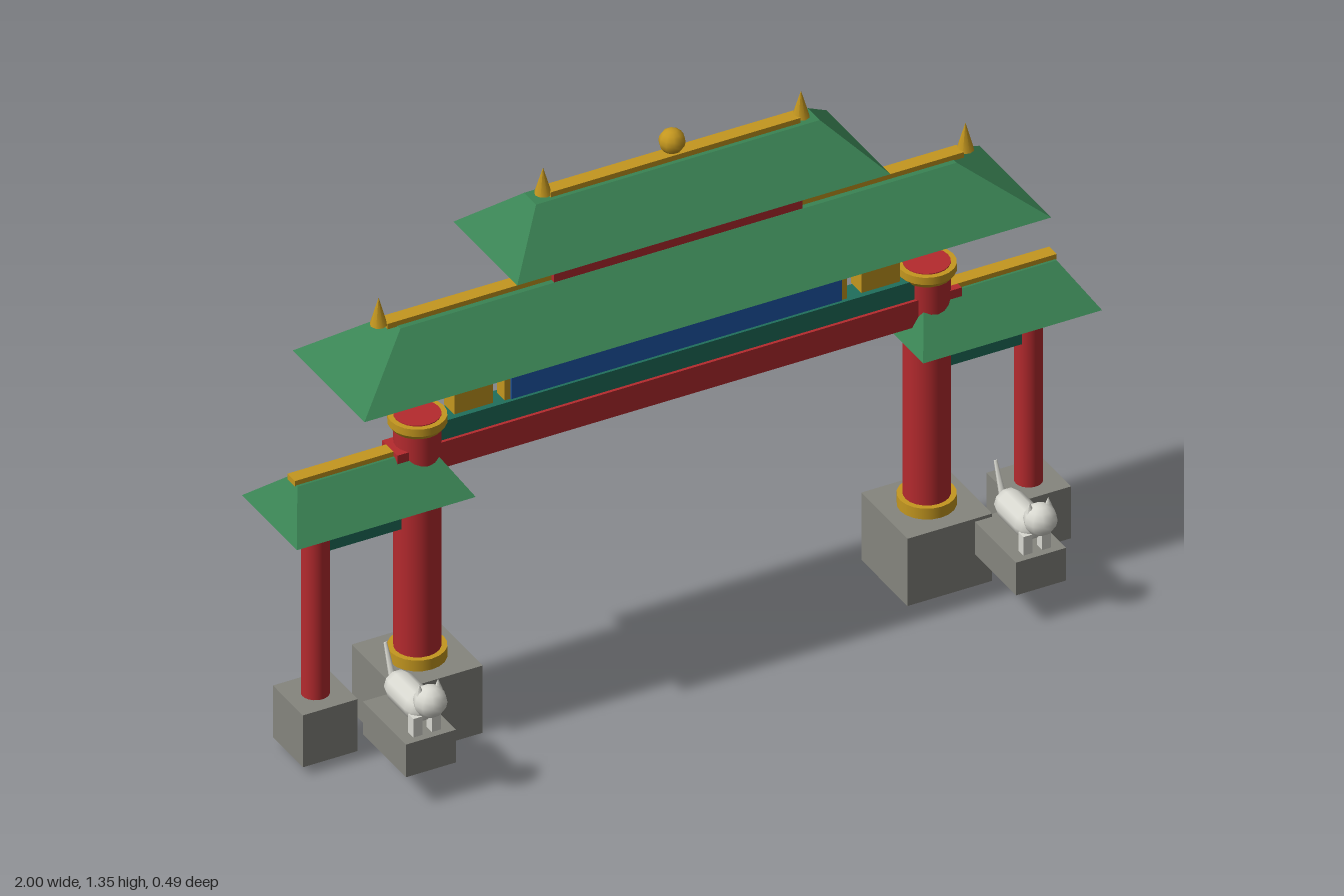
import * as THREE from 'three';

const mat = (name, color) => {
  const m = new THREE.MeshStandardMaterial({ color });
  m.name = name;
  return m;
};

export function createModel() {
  const red = mat('red lacquer', 0xb52a2e);
  const green = mat('green roof tile', 0x3a8354);
  const gold = mat('gold', 0xc4971f);
  const blue = mat('blue panel', 0x1f5aad);
  const teal = mat('teal trim', 0x1f6f5c);
  const stone = mat('grey stone', 0x85857e);
  const marble = mat('pale marble', 0xd8d8d0);

  const model = new THREE.Group();
  model.name = 'gateway';
  const gate = new THREE.Group();
  gate.name = 'gate';
  gate.position.z = -0.08;
  model.add(gate);

  const add = (parent, name, geometry, material, x, y, z = 0) => {
    const mesh = new THREE.Mesh(geometry, material);
    mesh.name = name;
    mesh.position.set(x, y, z);
    parent.add(mesh);
    return mesh;
  };
  // Box given by its x range, y range and depth
  const box = (parent, name, material, x0, x1, y0, y1, depth, z = 0) =>
    add(parent, name, new THREE.BoxGeometry(Math.abs(x1 - x0), y1 - y0, depth), material,
      (x0 + x1) / 2, (y0 + y1) / 2, z);
  // Upright cylinder given by its y range
  const post = (parent, name, material, x, y0, y1, rTop, rBottom = rTop, segments = 20) =>
    add(parent, name, new THREE.CylinderGeometry(rTop, rBottom, y1 - y0, segments), material,
      x, (y0 + y1) / 2);
  // Hipped roof: a box whose top face is drawn in to a narrow ridge
  const roof = (name, x, y0, y1, halfX, halfZ, ridgeX, ridgeZ) => {
    const g = new THREE.BoxGeometry(2, y1 - y0, 2);
    const p = g.attributes.position;
    for (let i = 0; i < p.count; i++) {
      const top = p.getY(i) > 0;
      p.setX(i, p.getX(i) * (top ? ridgeX : halfX));
      p.setZ(i, p.getZ(i) * (top ? ridgeZ : halfZ));
    }
    g.computeVertexNormals();
    return add(gate, name, g, green, x, (y0 + y1) / 2);
  };

  // Central span: beams, panel and two stacked roofs
  box(gate, 'lowerBeam', red, -0.70, 0.70, 0.668, 0.735, 0.07);
  box(gate, 'tealBeam', teal, -0.60, 0.60, 0.735, 0.783, 0.055);
  box(gate, 'panelFrame', gold, -0.425, 0.425, 0.783, 0.887, 0.036);
  box(gate, 'bluePanel', blue, -0.41, 0.41, 0.784, 0.886, 0.044);
  box(gate, 'upperBeam', red, -0.697, 0.697, 0.886, 0.945, 0.068);
  roof('middleRoof', 0, 0.943, 1.06, 0.852, 0.163, 0.69, 0.03);
  box(gate, 'middleRidge', gold, -0.715, 0.715, 1.058, 1.072, 0.034);
  box(gate, 'upperWall', red, -0.308, 0.308, 1.055, 1.17, 0.058);
  roof('topRoof', 0, 1.167, 1.275, 0.463, 0.145, 0.352, 0.027);
  box(gate, 'topRidge', gold, -0.31, 0.31, 1.273, 1.288, 0.034);
  add(gate, 'ridgeBall', new THREE.SphereGeometry(0.03, 10, 8), gold, 0, 1.316);

  for (const s of [-1, 1]) {
    // Ridge-end spikes and gold blocks
    post(gate, 'middleFinial', gold, s * 0.728, 1.066, 1.135, 0, 0.02, 8);
    post(gate, 'topFinial', gold, s * 0.32, 1.28, 1.346, 0, 0.02, 8);
    box(gate, 'goldBlock', gold, s * 0.457, s * 0.553, 0.79, 0.874, 0.047);

    // Main column with collars on its plinth
    const cx = s * 0.632;
    box(gate, 'mainPlinth', stone, cx - 0.105, cx + 0.105, 0, 0.175, 0.21);
    post(gate, 'mainColumn', red, cx, 0.17, 0.806, 0.053);
    post(gate, 'baseCollar', gold, cx, 0.175, 0.203, 0.066);
    post(gate, 'topCollar', gold, cx, 0.785, 0.804, 0.066);
    post(gate, 'topCollarTaper', gold, cx, 0.774, 0.785, 0.066, 0.058);

    // Outer column, side beams and side roof
    const ox = s * 0.885;
    box(gate, 'outerPlinth', stone, ox - 0.068, ox + 0.068, 0.022, 0.157, 0.136);
    post(gate, 'outerColumn', red, ox, 0.15, 0.65, 0.032);
    box(gate, 'sideBeam', red, s * 0.63, s * 0.917, 0.565, 0.622, 0.045);
    box(gate, 'sideTealBeam', teal, s * 0.63, s * 0.885, 0.528, 0.557, 0.036);
    roof('sideRoof', s * 0.777, 0.634, 0.723, 0.222, 0.125, 0.165, 0.023);
    box(gate, 'sideRidge', gold, s * 0.63, s * 0.945, 0.721, 0.735, 0.034);

    // Guardian statue on its own plinth
    const lion = new THREE.Group();
    lion.name = 'guardian';
    lion.position.x = s * 0.757;
    model.add(lion);
    box(lion, 'guardianPlinth', stone, -0.062, 0.062, 0.082, 0.167, 0.196, 0.113);
    const body = add(lion, 'body', new THREE.CapsuleGeometry(0.037, 0.084, 3, 10), marble, 0, 0.221, 0.116);
    body.rotation.x = Math.PI / 2;
    add(lion, 'head', new THREE.SphereGeometry(0.038, 10, 8), marble, 0, 0.26, 0.208);
    for (const e of [-1, 1]) {
      box(lion, 'frontLeg', marble, e * 0.012, e * 0.034, 0.167, 0.215, 0.024, 0.182);
      add(lion, 'ear', new THREE.ConeGeometry(0.01, 0.026, 6), marble, e * 0.023, 0.294, 0.202);
    }
    const tail = add(lion, 'tail', new THREE.CylinderGeometry(0.004, 0.008, 0.08, 6), marble, 0, 0.259, 0.02);
    tail.rotation.x = -0.42;
  }
  return model;
}
